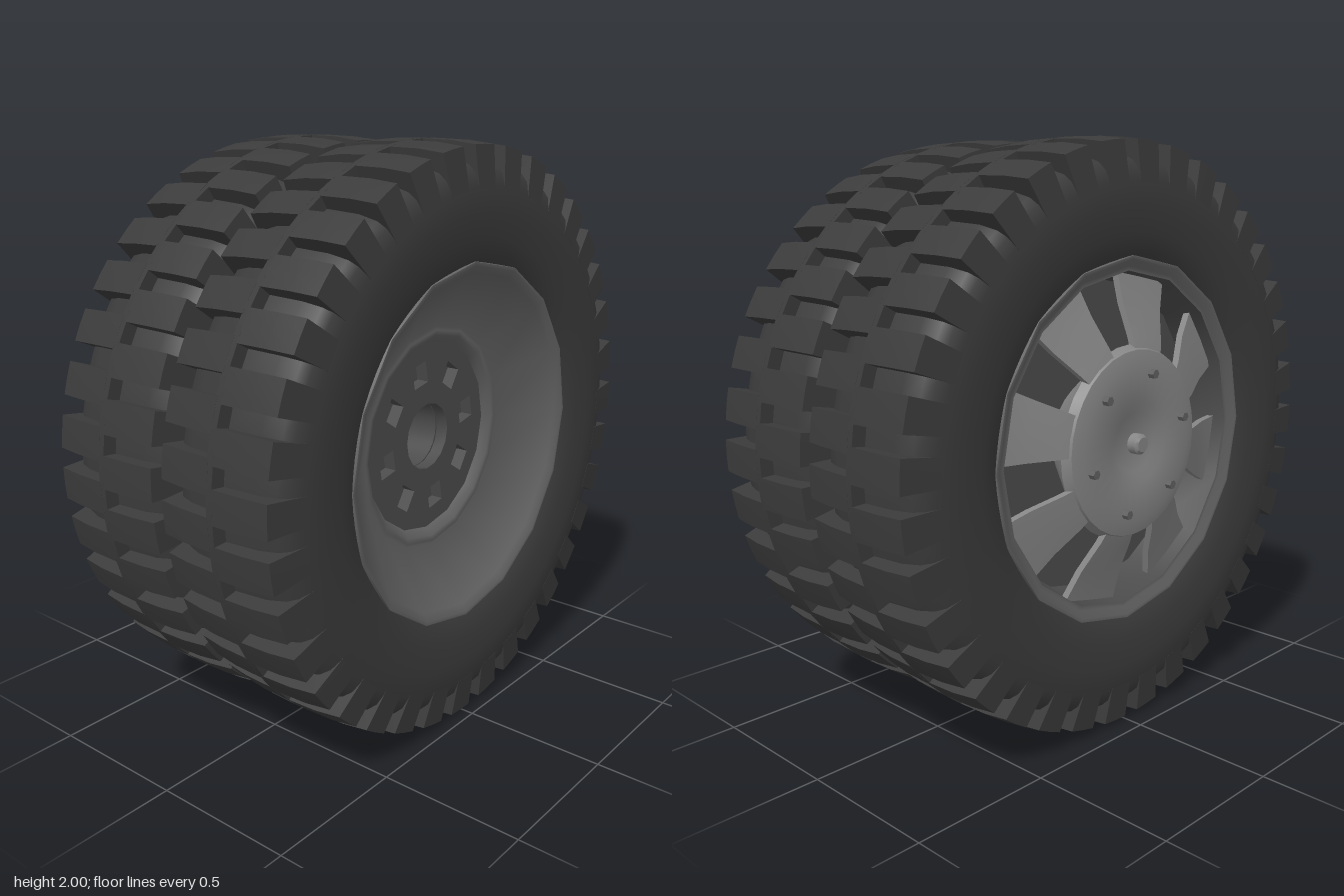
import * as THREE from 'three';
import { toCreasedNormals, mergeGeometries } from 'three/addons/utils/BufferGeometryUtils.js';

function paint(name, color, side = THREE.DoubleSide) {
  const material = new THREE.MeshStandardMaterial({ color, side });
  material.name = name;
  return material;
}
const rubber = paint('dark rubber', 0x3b3b3b, THREE.FrontSide);
const steel = paint('grey steel', 0x626262);
const darkSteel = paint('dark steel', 0x4c4c4c);
const brightSteel = paint('bright steel', 0x868686);

const LUGS = 36;
const PITCH = (Math.PI * 2) / LUGS;
const deg = THREE.MathUtils.degToRad;

function add(parent, name, geometry, material, x = 0, y = 0, z = 0) {
  const mesh = new THREE.Mesh(geometry, material);
  mesh.name = name;
  mesh.position.set(x, y, z);
  parent.add(mesh);
}

// Revolve [x, radius] points around the x axis
function turned(points, segments, crease = 0.6) {
  const geo = new THREE.LatheGeometry(points.map(([x, r]) => new THREE.Vector2(r, x)), segments);
  geo.rotateZ(-Math.PI / 2);
  return toCreasedNormals(geo, crease);
}

// Sweep a closed [x, radius] section around the x axis between two angles
function arcBlock(points, start, length, steps) {
  const shape = new THREE.Shape(points.map(([x, r]) => new THREE.Vector2(x, r)));
  const geo = new THREE.ExtrudeGeometry(shape, { depth: 1, steps, bevelEnabled: false });
  const pos = geo.attributes.position;
  for (let i = 0; i < pos.count; i++) {
    const a = start + pos.getZ(i) * length;
    const r = pos.getY(i);
    pos.setXYZ(i, pos.getX(i), r * Math.cos(a), r * Math.sin(a));
  }
  return toCreasedNormals(geo, 0.4);
}

const mirror = (points) => points.map(([x, r]) => [-x, r]).reverse();

function makeTire() {
  const tire = new THREE.Group();
  tire.name = 'tire';
  // Carcass with a narrow centre rib
  const half = [
    [0.012, 1.0], [0.014, 0.955], [0.13, 0.945], [0.19, 0.925], [0.215, 0.9], [0.229, 0.86],
    [0.232, 0.78], [0.226, 0.69], [0.212, 0.63], [0.195, 0.6],
  ];
  add(tire, 'carcass', turned([...mirror(half), ...half], 72), rubber);
  // Staggered tread lugs on both shoulders
  const section = [[0.008, 0.94], [0.008, 1.0], [0.12, 0.997], [0.213, 0.986], [0.231, 0.85], [0.16, 0.9]];
  const blocks = [];
  for (let i = 0; i < LUGS; i++) {
    const start = deg(8.5) + (i - 0.31) * PITCH;
    blocks.push(arcBlock(section, start, PITCH * 0.62, 2));
    blocks.push(arcBlock(mirror(section), start + PITCH / 2, PITCH * 0.62, 2));
  }
  add(tire, 'treadLugs', mergeGeometries(blocks), rubber);
  return tire;
}

function makeDishedRim() {
  const rim = new THREE.Group();
  rim.name = 'dishedRim';
  // Rim lip, cone and rounded ring around the hub
  add(rim, 'dish', turned([
    [0.19, 0.625], [0.21, 0.62], [0.21, 0.608], [0.19, 0.585], [0.055, 0.39],
    [0.06, 0.378], [0.056, 0.36], [0.03, 0.335],
  ], 16, 1.2), steel);
  // Hub plate with square holes and a centre bore
  const plate = new THREE.Shape().absarc(0, 0, 0.338, 0, Math.PI * 2);
  plate.holes.push(new THREE.Path().absarc(0, 0, 0.117, 0, Math.PI * 2, true));
  for (let i = 0; i < 8; i++) {
    const a = deg(102 + 45 * i);
    const corners = [0, 1, 2, 3].map((k) => {
      const b = a + Math.PI / 4 - (k * Math.PI) / 2;
      return new THREE.Vector2(0.23 * Math.cos(a) + 0.054 * Math.cos(b), 0.23 * Math.sin(a) + 0.054 * Math.sin(b));
    });
    plate.holes.push(new THREE.Path(corners));
  }
  const geo = new THREE.ExtrudeGeometry(plate, { depth: 0.045, bevelEnabled: false, curveSegments: 8 });
  geo.rotateY(Math.PI / 2);
  add(rim, 'hubPlate', toCreasedNormals(geo, 0.5), darkSteel, -0.015);
  add(rim, 'hubBore', turned([[-0.02, 0.338], [-0.02, 0.117], [-0.14, 0.117], [-0.14, 0]], 24), darkSteel);
  add(rim, 'rimBack', turned([[-0.2, 0], [-0.2, 0.5], [-0.19, 0.62]], 32), darkSteel);
  return rim;
}

function makeSpokedRim() {
  const rim = new THREE.Group();
  rim.name = 'spokedRim';
  add(rim, 'rimLip', turned([[-0.19, 0.57], [-0.19, 0.585], [-0.21, 0.608], [-0.21, 0.62], [-0.19, 0.625]], 16, 1.2), steel);
  add(rim, 'rimBarrel', turned([[-0.04, 0], [-0.04, 0.54], [-0.19, 0.575]], 16), darkSteel);
  add(rim, 'rimBack', turned([[0.19, 0.62], [0.233, 0.5], [0.233, 0]], 32), darkSteel);
  // Spokes falling away from the hub, between open windows
  const spoke = [
    [-0.235, 0.28], [-0.215, 0.35], [-0.17, 0.46], [-0.14, 0.575],
    [-0.115, 0.575], [-0.145, 0.46], [-0.19, 0.35], [-0.21, 0.28],
  ];
  const spokes = [];
  for (let i = 0; i < 8; i++) spokes.push(arcBlock(spoke, deg(45 * i), deg(25), 2));
  add(rim, 'spokes', mergeGeometries(spokes), brightSteel);
  // Hub cover with a shallow recess around the centre cap
  add(rim, 'hubCover', turned([
    [-0.225, 0], [-0.225, 0.1], [-0.241, 0.14], [-0.242, 0.27], [-0.232, 0.315], [-0.2, 0.33], [-0.04, 0.2],
  ], 32, 0.5), brightSteel);
  add(rim, 'centreCap', turned([[-0.265, 0], [-0.265, 0.025], [-0.255, 0.035], [-0.22, 0.035]], 16), brightSteel);
  // Ring of wheel nuts
  const nut = new THREE.CylinderGeometry(0.016, 0.016, 0.03, 6).rotateZ(Math.PI / 2).toNonIndexed();
  nut.computeVertexNormals();
  for (let i = 0; i < 6; i++) {
    const a = deg(15 + 60 * i);
    add(rim, 'wheelNut', nut, steel, -0.25, 0.238 * Math.sin(a), 0.238 * Math.cos(a));
  }
  return rim;
}

export function createModel() {
  const model = new THREE.Group();
  model.name = 'dualWheel';
  const wheels = [['outerWheel', -0.222, makeSpokedRim], ['innerWheel', 0.252, makeDishedRim]];
  for (const [name, x, makeRim] of wheels) {
    const wheel = new THREE.Group();
    wheel.name = name;
    wheel.position.set(x, 1, 0);
    wheel.add(makeTire(), makeRim());
    model.add(wheel);
  }
  return model;
}
